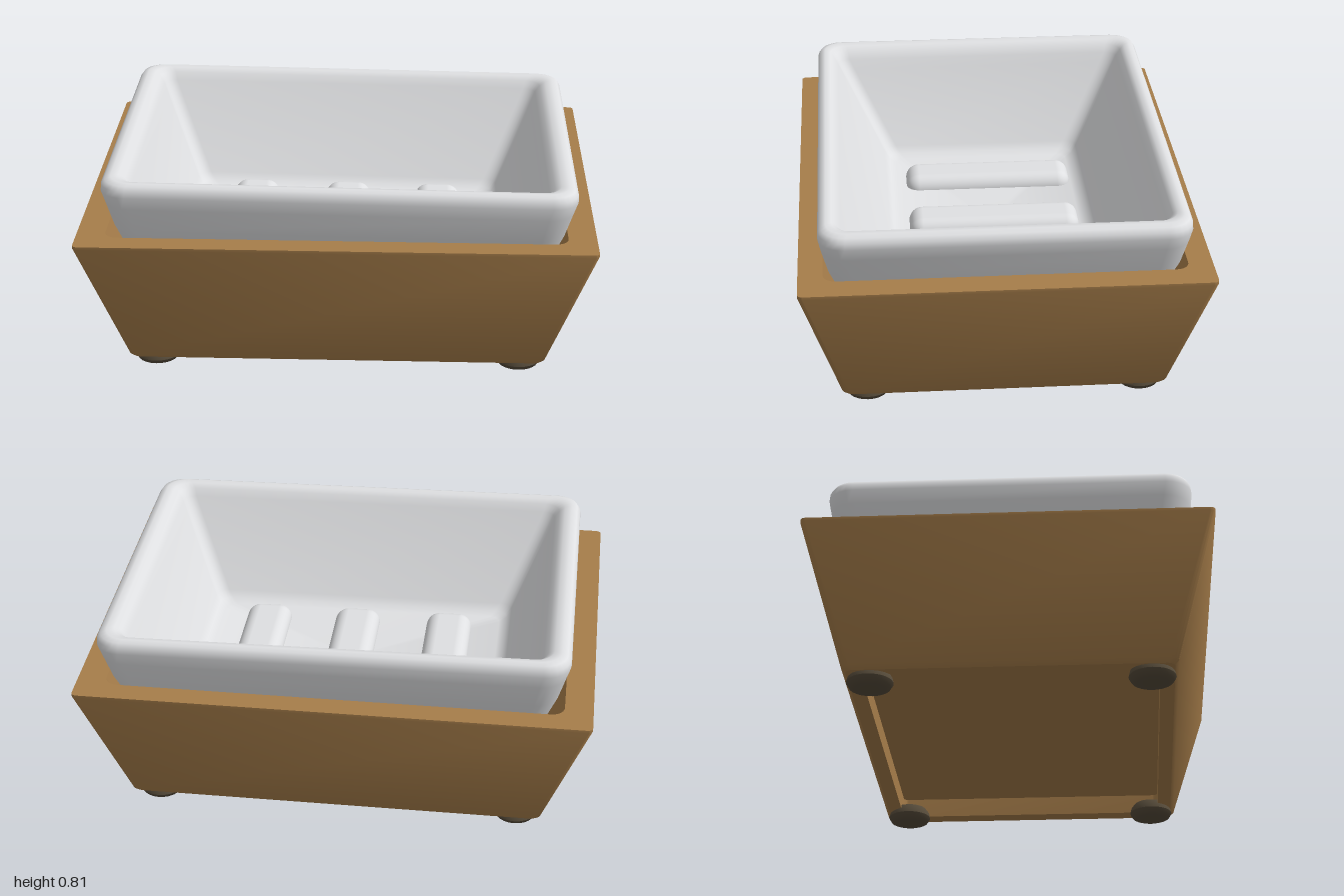
import * as THREE from 'three';
import { toCreasedNormals } from 'three/addons/utils/BufferGeometryUtils.js';
import { RoundedBoxGeometry } from 'three/addons/geometries/RoundedBoxGeometry.js';

const CORNER_STEPS = 6;

// Points of one rounded rectangle at height y
function ring([hx, hz, y, r]) {
  const pts = [];
  for (let q = 0; q < 4; q++) {
    const sx = q === 0 || q === 3 ? 1 : -1;
    const sz = q < 2 ? 1 : -1;
    for (let k = 0; k <= CORNER_STEPS; k++) {
      const a = (q + k / CORNER_STEPS) * Math.PI / 2;
      pts.push([sx * (hx - r) + r * Math.cos(a), y, sz * (hz - r) + r * Math.sin(a)]);
    }
  }
  return pts;
}

// Skin through a list of [halfWidth, halfDepth, y, cornerRadius] sections
function loft(sections, crease) {
  const rings = sections.map(ring);
  const n = rings[0].length;
  const index = [];
  for (let i = 0; i < rings.length - 1; i++) {
    for (let j = 0; j < n; j++) {
      const k = (j + 1) % n;
      const a = i * n + j, b = i * n + k, c = a + n, d = b + n;
      if (sections[i][0] > 0) index.push(a, c, b);
      if (sections[i + 1][0] > 0) index.push(b, c, d);
      else if (sections[i][0] > 0) index[index.length - 2] = c;
    }
  }
  const g = new THREE.BufferGeometry();
  g.setAttribute('position', new THREE.Float32BufferAttribute(rings.flat(2), 3));
  g.setIndex(index);
  return toCreasedNormals(g, crease);
}

export function createModel() {
  const material = (name, color) => new THREE.MeshStandardMaterial({ name, color });
  const wood = material('warm wood', 0xa67d4a);
  const ceramic = material('white ceramic', 0xdfe0e2);
  const rubber = material('dark rubber', 0x564b3a);

  const model = new THREE.Group();
  model.name = 'soapDish';
  const add = (parent, name, geometry, mat) => {
    const mesh = new THREE.Mesh(geometry, mat);
    mesh.name = name;
    parent.add(mesh);
    return mesh;
  };

  // Tapered wooden tray, hollowed underneath and open on top
  add(model, 'woodenTray', loft([
    [0, 0, 0.13, 0],
    [0.75, 0.56, 0.13, 0.02],
    [0.75, 0.56, 0.05, 0.02],
    [0.805, 0.615, 0.045, 0.03],
    [0.818, 0.63, 0.06, 0.03],
    [0.994, 0.778, 0.58, 0.02],
    [0.994, 0.778, 0.592, 0.02],
    [0.885, 0.685, 0.592, 0.05],
    [0.77, 0.57, 0.23, 0.05],
    [0, 0, 0.23, 0],
  ], 0.6), wood);

  // Ceramic bowl with a rolled rim, very slightly lower on its left
  const dish = new THREE.Group();
  dish.name = 'ceramicDish';
  dish.rotation.z = -0.013;
  model.add(dish);
  add(dish, 'bowl', loft([
    [0, 0, 0.26, 0],
    [0.73, 0.52, 0.26, 0.08],
    [0.75, 0.54, 0.28, 0.08],
    [0.866, 0.665, 0.6, 0.09],
    [0.895, 0.69, 0.7, 0.1],
    [0.91, 0.699, 0.75, 0.1],
    [0.908, 0.697, 0.775, 0.1],
    [0.895, 0.686, 0.793, 0.09],
    [0.873, 0.668, 0.8, 0.08],
    [0.845, 0.645, 0.796, 0.07],
    [0.82, 0.628, 0.78, 0.06],
    [0.803, 0.612, 0.75, 0.05],
    [0.785, 0.59, 0.71, 0.05],
    [0.64, 0.42, 0.4, 0.05],
    [0.62, 0.4, 0.373, 0.05],
    [0.59, 0.37, 0.36, 0.04],
    [0, 0, 0.36, 0],
  ], 0.75), ceramic);

  // Three raised bars that hold the soap
  for (const x of [-0.38, 0.01, 0.39]) {
    const bar = add(dish, 'soapRidge', new RoundedBoxGeometry(0.19, 0.12, 0.7, 5, 0.055), ceramic);
    bar.position.set(x, 0.35, -0.015);
  }

  // Round feet under the corners
  const profile = [[0, 0], [0.06, 0], [0.08, 0.008], [0.09, 0.025], [0.085, 0.045], [0.07, 0.065], [0, 0.065]]
    .map(([x, y]) => new THREE.Vector2(x, y));
  const footGeometry = toCreasedNormals(new THREE.LatheGeometry(profile, 24), 0.7);
  for (const x of [-0.715, 0.715]) {
    for (const z of [-0.53, 0.53]) {
      add(model, 'foot', footGeometry, rubber).position.set(x, 0.005, z);
    }
  }
  return model;
}
